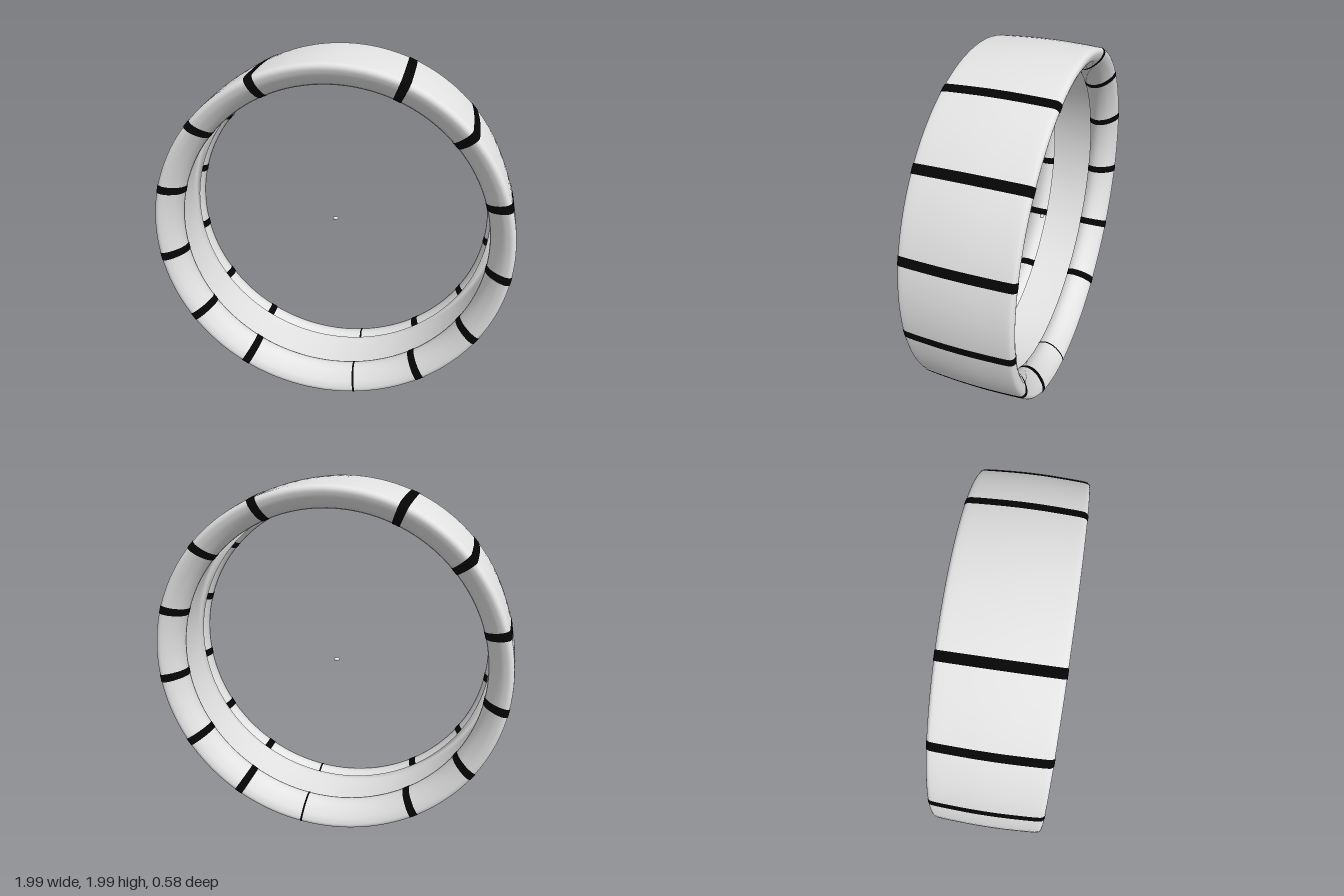
import * as THREE from 'three';

// The band is a hollow shell, seen from inside as well
const lightGrey = new THREE.MeshStandardMaterial({ color: 0xe3e3e3, side: THREE.DoubleSide });
lightGrey.name = 'light grey';
const black = new THREE.MeshStandardMaterial({ color: 0x050505 });
black.name = 'black';

// Half cross-section as (radius, z): curled lip, dished sidewall, shoulder, crowned tread
const HALF = [
  [0.875, 0.125], [0.864, 0.142], [0.857, 0.168], [0.862, 0.2], [0.882, 0.238], [0.918, 0.273],
  [0.945, 0.287], [0.964, 0.29], [0.979, 0.281], [0.986, 0.26], [0.991, 0.18], [0.995, 0.08],
];

// Inner lining, from one lip to the other
const LINING = [[0.875, 0.125], [0.885, 0.17], [0.91, 0.22], [0.935, 0.235], [0.95, 0.215]];

// Mirror a half cross-section in z, from back to front
const mirrored = (half, middle = []) => [
  ...half.map(([r, z]) => new THREE.Vector2(r, -z)),
  ...middle,
  ...[...half].reverse().map(([r, z]) => new THREE.Vector2(r, z)),
];

// Full outer skin from the back lip to the front one, pushed out by "offset"
function skinProfile(offset) {
  const curve = new THREE.SplineCurve(mirrored(HALF, [new THREE.Vector2(0.996, 0)]));
  const out = [];
  for (let i = 0; i <= 96; i++) {
    const p = curve.getPoint(i / 96);
    const t = curve.getTangent(i / 96);
    out.push(new THREE.Vector2(p.x + t.y * offset, p.y - t.x * offset));
  }
  return out;
}

// Lathe around the z axis; angles are measured from +x towards +y
function ring(name, profile, material, segments, start = 0, length = Math.PI * 2) {
  const geo = new THREE.LatheGeometry(profile, segments, start + Math.PI / 2, length);
  geo.rotateX(Math.PI / 2);
  const mesh = new THREE.Mesh(geo, material);
  mesh.name = name;
  mesh.position.y = 1;
  return mesh;
}

export function createModel() {
  const model = new THREE.Group();
  model.name = 'stripedRing';

  // Hollow band, open between the two lips
  model.add(ring('outerSkin', skinProfile(0), lightGrey, 128));
  model.add(ring('innerLining', mirrored(LINING).reverse(), lightGrey, 128));

  // Cross stripes wrapping tread, sidewalls and lips, with a wide gap at the top
  const stripeProfile = skinProfile(0.0018);
  const addStripe = (deg, width) => {
    const a = THREE.MathUtils.degToRad(deg);
    model.add(ring('stripe', stripeProfile, black, 4, a - width / 2, width));
  };
  for (let i = 0; i < 6; i++) {
    addStripe(67.3 - i * 24.75, 0.05);
    addStripe(113.7 + i * 24.9, 0.05);
  }
  addStripe(-81, 0.012);

  // Tiny bead near the centre
  const bead = new THREE.Mesh(new THREE.SphereGeometry(0.015, 12, 8), lightGrey);
  bead.name = 'centreBead';
  bead.scale.set(1.1, 0.7, 0.8);
  bead.position.set(-0.02, 1.005, -0.08);
  model.add(bead);

  return model;
}
